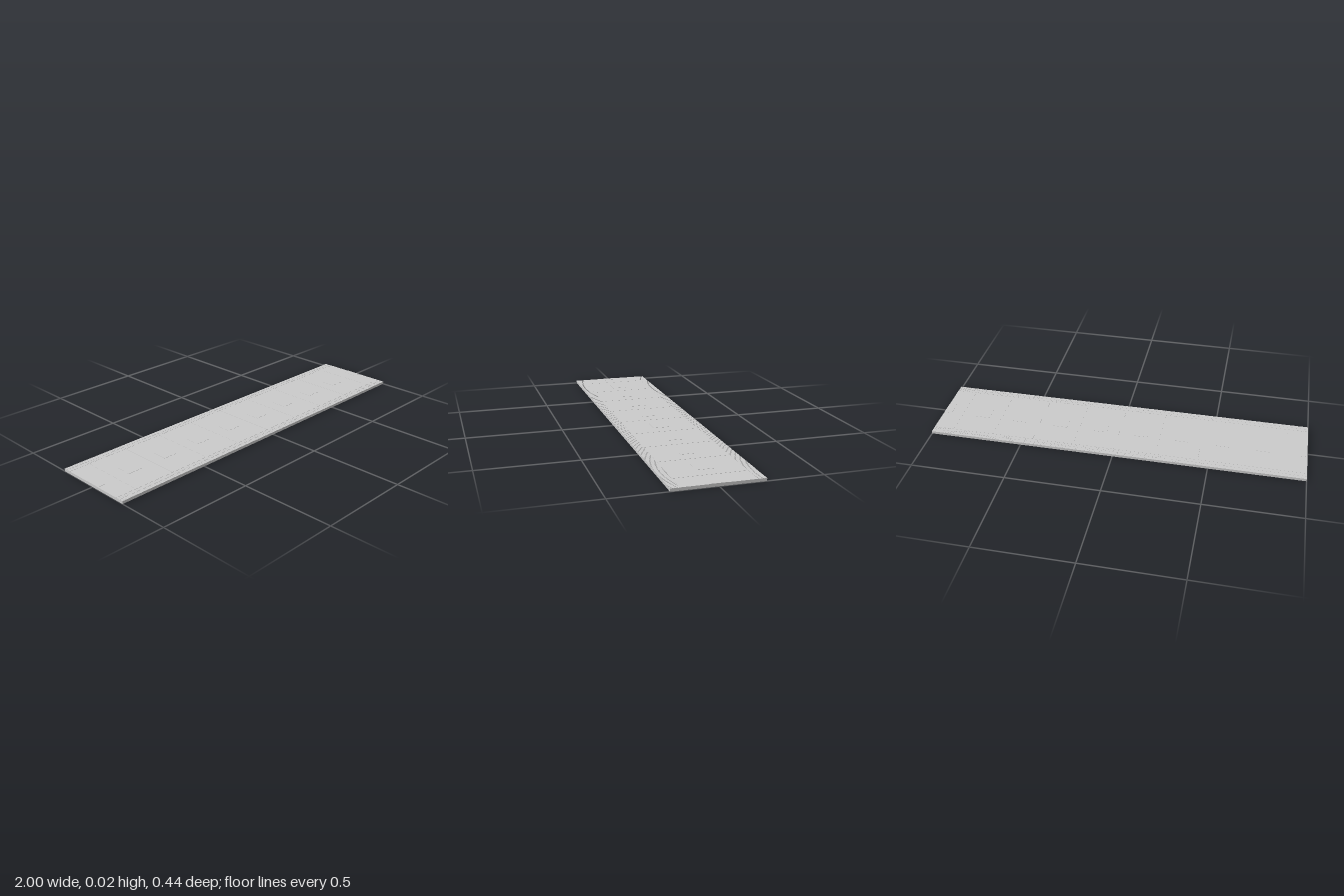
import * as THREE from 'three';
import { mergeGeometries } from 'three/addons/utils/BufferGeometryUtils.js';

const HALF_W = 0.2225, BORDER = 0.18, TOP = 0.0146, PITCH = 2 / 9;

// Box given by its lower and upper limits on each axis
function box(x0, x1, y0, y1, z0, z1) {
  return new THREE.BoxGeometry(x1 - x0, y1 - y0, z1 - z0)
    .translate((x0 + x1) / 2, (y0 + y1) / 2, (z0 + z1) / 2);
}

export function createModel() {
  const group = new THREE.Group();
  const material = new THREE.MeshStandardMaterial({ color: 0xcccccc, flatShading: true });
  const add = (name, parts) => {
    const mesh = new THREE.Mesh(mergeGeometries(parts), material);
    mesh.name = name;
    group.add(mesh);
  };

  // Solid slab underneath
  add('baseSlab', [box(-1, 1, 0, 0.0138, -HALF_W, HALF_W)]);

  // Floor panels, split by narrow seams across the strip
  const panels = [];
  for (let i = 0; i < 9; i++) {
    const x = -1 + i * PITCH, mid = x + PITCH / 2, gap = 0.001;
    panels.push(box(x, mid - gap, 0.0135, TOP, -BORDER + 0.002, BORDER - 0.002));
    panels.push(box(mid + gap, x + PITCH, 0.0135, TOP, -BORDER + 0.002, BORDER - 0.002));
  }
  add('floorPanels', panels);

  // Raised squares along the centre line, halved at both ends
  const squares = [];
  for (let i = 0; i <= 9; i++) {
    const x = -1 + i * PITCH;
    squares.push(box(Math.max(-1, x - 0.042), Math.min(1, x + 0.042), 0.014, 0.0155, -0.042, 0.042));
  }
  add('centreSquares', squares);

  // Two rows of small ribs along each long edge
  const ribs = [], count = 150, step = 2 / count;
  for (const side of [-1, 1]) {
    for (const [a, b] of [[BORDER, 0.2005], [0.202, HALF_W]]) {
      for (let i = 0; i < count; i++) {
        const x = -1 + i * step;
        const z0 = Math.min(side * a, side * b), z1 = Math.max(side * a, side * b);
        ribs.push(box(x + 0.001, x + step - 0.001, 0.0135, TOP, z0, z1));
      }
    }
  }
  add('borderRibs', ribs);

  return group;
}
